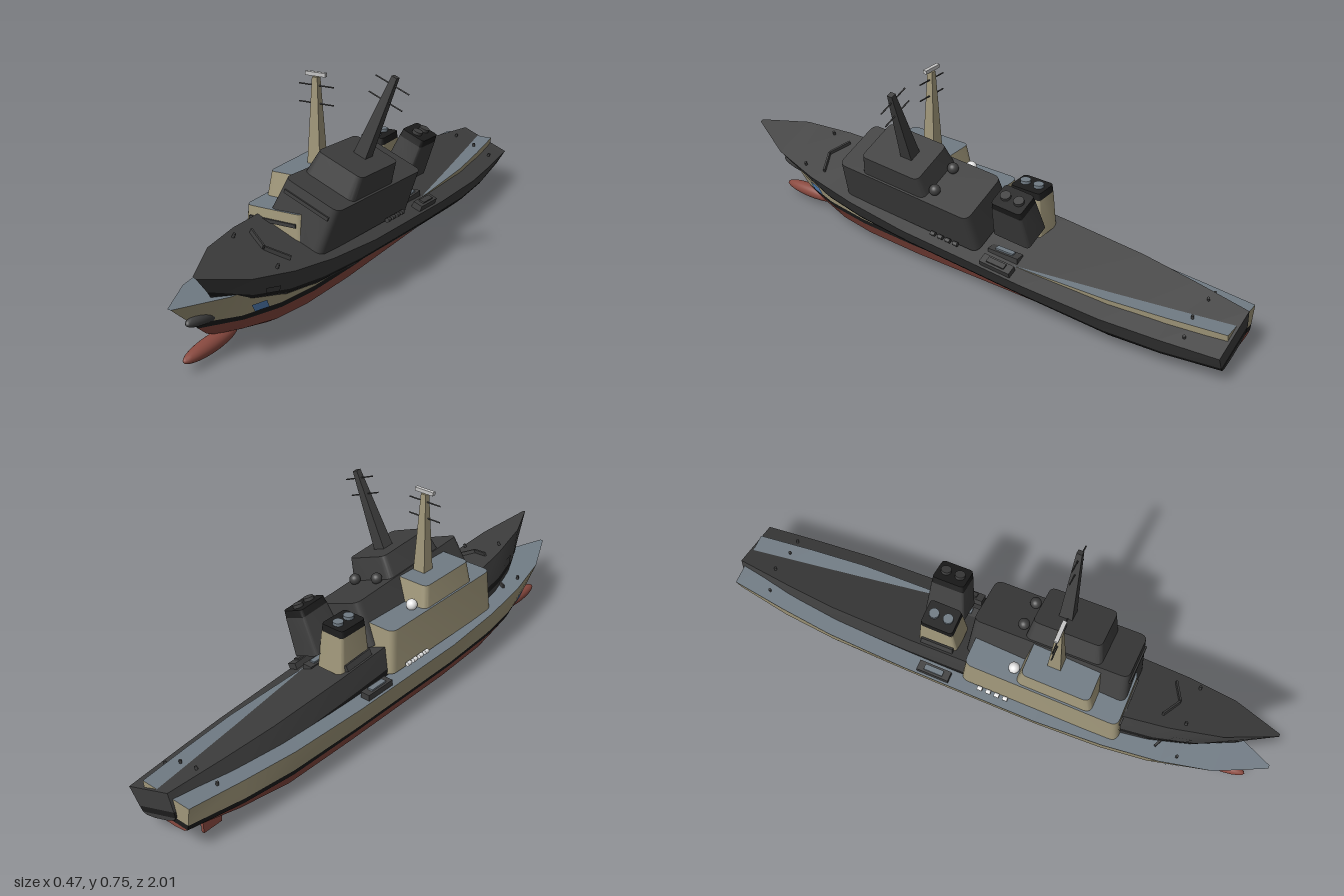
import * as THREE from 'three';
import { toCreasedNormals } from 'three/addons/utils/BufferGeometryUtils.js';

const mat = (name, color) => Object.assign(new THREE.MeshStandardMaterial({ color }), { name });

// Hull stations: z, then [half width, y] for keel edge, bilge, waterline, stripe top, deck
const STATIONS = [
  [-1.0, [.03, .085], [.07, .09], [.085, .1], [.09, .12], [.1, .187]],
  [-.8, [.045, .04], [.09, .055], [.115, .09], [.12, .11], [.125, .183]],
  [-.6, [.05, .003], [.105, .033], [.13, .082], [.135, .102], [.145, .18]],
  [-.3, [.05, 0], [.107, .03], [.133, .08], [.14, .1], [.154, .178]],
  [.2, [.05, 0], [.107, .03], [.133, .08], [.14, .1], [.155, .18]],
  [.45, [.045, 0], [.098, .032], [.125, .083], [.131, .104], [.143, .188]],
  [.65, [.03, .005], [.076, .035], [.108, .09], [.113, .111], [.122, .2]],
  [.83, [.013, .03], [.043, .052], [.068, .1], [.075, .122], [.085, .213]],
  [1.0, [.001, .06], [.002, .08], [.003, .115], [.003, .14], [.006, .225]],
];
// How far forward the raked stem reaches at each level
const STEM = [.8, .84, .88, .905, 1];

// Hull point at a station, level and side
function hullPoint(st, level, side) {
  const z = st[0] > .4 ? .4 + (st[0] - .4) * (STEM[level] - .4) / .6 : st[0];
  return new THREE.Vector3(side * st[level + 1][0], st[level + 1][1], z);
}

const hullRow = (level, side) => STATIONS.map(st => hullPoint(st, level, side));

// Surface through rows of points
function sheet(rows) {
  const n = rows[0].length, index = [];
  for (let j = 0; j < rows.length - 1; j++)
    for (let i = 0; i < n - 1; i++) {
      const a = j * n + i, b = a + 1, c = a + n, d = c + 1;
      index.push(a, c, b, b, c, d);
    }
  const g = new THREE.BufferGeometry().setFromPoints(rows.flat());
  g.setIndex(index);
  return toCreasedNormals(g, .45);
}

// Upright block with rounded corners that narrows towards its roof
function taperedBlock(w, l, y0, y1, topW, topL, r) {
  const s = new THREE.Shape();
  s.moveTo(-w + r, -l);
  s.lineTo(w - r, -l); s.quadraticCurveTo(w, -l, w, -l + r);
  s.lineTo(w, l - r); s.quadraticCurveTo(w, l, w - r, l);
  s.lineTo(-w + r, l); s.quadraticCurveTo(-w, l, -w, l - r);
  s.lineTo(-w, -l + r); s.quadraticCurveTo(-w, -l, -w + r, -l);
  const g = new THREE.ExtrudeGeometry(s, { depth: y1 - y0, bevelEnabled: false, curveSegments: 5 });
  g.rotateX(-Math.PI / 2);
  const p = g.attributes.position;
  for (let i = 0; i < p.count; i++) {
    const t = p.getY(i) / (y1 - y0);
    p.setXYZ(i, p.getX(i) * (1 + t * (topW / w - 1)), p.getY(i) + y0, p.getZ(i) * (1 + t * (topL / l - 1)));
  }
  return toCreasedNormals(g, .6);
}

function buildShip(c, withRadar) {
  const ship = new THREE.Group();
  const add = (name, geo, material, x = 0, y = 0, z = 0) => {
    const m = new THREE.Mesh(geo, material);
    m.name = name;
    m.position.set(x, y, z);
    ship.add(m);
    return m;
  };
  const box = (name, w, h, d, material, x, y, z) => add(name, new THREE.BoxGeometry(w, h, d), material, x, y, z);

  // Hull: bottom, stripe, topsides and deck
  add('hullBottom', sheet([hullRow(2, -1), hullRow(1, -1), hullRow(0, -1), hullRow(0, 1), hullRow(1, 1), hullRow(2, 1)]), c.bottom);
  for (const [name, lo, m] of [['stripe', 2, c.stripe], ['topside', 3, c.paint]]) {
    add(name + 'Left', sheet([hullRow(lo, 1), hullRow(lo + 1, 1)]), m);
    add(name + 'Right', sheet([hullRow(lo + 1, -1), hullRow(lo, -1)]), m);
  }
  add('deck', sheet([hullRow(4, 1), hullRow(4, -1)]), c.deck);

  // Transom in the same bands
  const across = l => [hullPoint(STATIONS[0], l, -1), hullPoint(STATIONS[0], l, 1)];
  add('transomBottom', sheet([0, 1, 2].map(across)), c.bottom);
  add('transomStripe', sheet([2, 3].map(across)), c.stripe);
  add('transomTop', sheet([3, 4].map(across)), c.paint);

  // Bulbous bow
  const bulb = add('bowBulb', new THREE.SphereGeometry(1, 24, 16), c.bottom, 0, .037, .82);
  bulb.scale.set(.028, .026, .13);

  // Superstructure
  add('deckhouse', taperedBlock(.113, .295, .185, .345, .104, .28, .03), [c.deck, c.paint], 0, 0, .195);
  add('bridge', taperedBlock(.097, .137, .345, .425, .087, .122, .025), [c.deck, c.paint], 0, 0, .238);
  box('bridgeWindow', .172, .012, .008, c.fitting, 0, .308, .48);

  // Mast with yards and radar
  const mast = new THREE.CylinderGeometry(.014, .034, .292, 4).rotateY(Math.PI / 4);
  add('mast', mast.toNonIndexed(), c.paint, 0, .568, .21).geometry.computeVertexNormals();
  for (const y of [.625, .685])
    add('yard', new THREE.CylinderGeometry(.0025, .0025, .13, 8).rotateZ(Math.PI / 2), c.fitting, 0, y, .21);
  if (withRadar) box('radarBar', .075, .013, .014, c.metal, 0, .723, .21);

  // Funnel with dark cap and two exhausts
  add('funnel', taperedBlock(.055, .073, .25, .385, .047, .061, .015), c.paint, 0, 0, -.212);
  add('funnelCap', taperedBlock(.047, .061, .385, .41, .045, .058, .015), c.stripe, 0, 0, -.212);
  for (const z of [-.238, -.186])
    add('exhaust', new THREE.CylinderGeometry(.018, .018, .012, 20), c.deck, 0, .415, z);

  // Paired fittings
  for (const s of [-1, 1]) {
    add('radome', new THREE.SphereGeometry(.02, 20, 14), c.white, s * .054, .36, .08);
    box('boat', .036, .022, .12, c.fitting, s * .128, .191, -.195);
    box('boatCover', .02, .008, .07, c.deck, s * .128, .204, -.195);
    for (let i = 0; i < 4; i++)
      add('raftCanister', new THREE.CylinderGeometry(.008, .008, .018, 12).rotateX(Math.PI / 2), c.white, s * .124, .2, -.02 + i * .032);
    for (const [x, y, z] of [[.08, .189, -.87], [.085, .212, .7]])
      add('bollard', new THREE.CylinderGeometry(.005, .005, .014, 10), c.fitting, s * x, y, z);
    const guard = box('breakwater', .085, .014, .007, c.fitting, s * .04, .206, .635);
    guard.rotation.y = s * .45;
    box('rudder', .01, .07, .075, c.bottom, s * .04, .038, -.87);

    // Bow marking lying on the flare
    const [a, b] = [STATIONS[6], STATIONS[7]];
    const at = (u, v) => {
      const lo = hullPoint(a, 3, s).lerp(hullPoint(b, 3, s), u);
      const hi = hullPoint(a, 4, s).lerp(hullPoint(b, 4, s), u);
      return lo.lerp(hi, v).add(new THREE.Vector3(s * .004, 0, 0));
    };
    const rows = [[at(.33, .02), at(.7, .02)], [at(.33, .35), at(.7, .35)]];
    add('bowMark', sheet(s > 0 ? rows : rows.reverse()), c.mark);
  }
  return ship;
}

export function createModel() {
  const black = mat('black', 0x1c1c1c), dark = mat('charcoal', 0x3e3e3e);
  const painted = {
    paint: mat('beige', 0xa0977a), deck: mat('deckGrey', 0x707b84), bottom: mat('redOxide', 0x8a4a40),
    stripe: black, fitting: dark, metal: mat('lightGrey', 0xc4c4c4),
    white: mat('white', 0xe6e6e6), mark: mat('blue', 0x5585bd),
  };
  const burnt = {
    paint: dark, deck: dark, bottom: dark, stripe: black, fitting: dark, metal: dark, white: dark, mark: dark,
  };
  const model = new THREE.Group();

  // Upright ship
  const upright = buildShip(painted, true);
  upright.name = 'uprightShip';
  upright.position.x = -.083;

  // Charred twin, heeled over with its bow raised
  const heeled = buildShip(burnt, false);
  heeled.name = 'heeledShip';
  heeled.position.set(-.084, .0635, 0);
  heeled.rotation.set(-.0625, 0, -.384);

  model.add(upright, heeled);
  return model;
}
